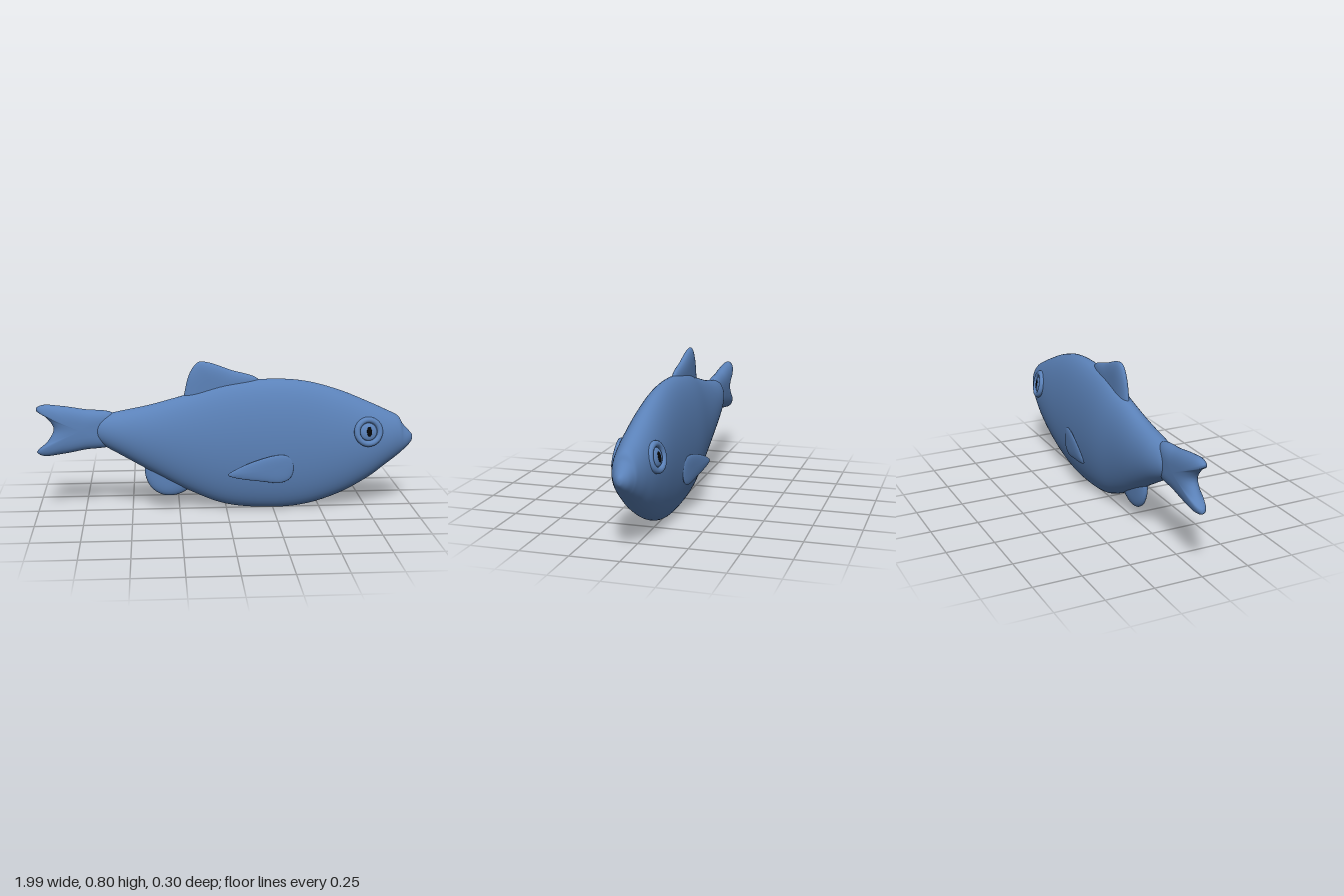
import * as THREE from 'three';
import { mergeVertices } from 'three/addons/utils/BufferGeometryUtils.js';

const blue = new THREE.MeshStandardMaterial({ color: 0x5b82b9 });
blue.name = 'scale blue';
const black = new THREE.MeshStandardMaterial({ color: 0x050505 });
black.name = 'pupil black';

// Skin a list of closed rings (each a list of [x, y, z]) with smooth normals
function loft(rings) {
  const n = rings[0].length, index = [];
  for (let i = 0; i < rings.length - 1; i++) {
    for (let j = 0; j < n; j++) {
      const k = (j + 1) % n, a = i * n, c = a + n;
      index.push(a + j, c + j, a + k, a + k, c + j, c + k);
    }
  }
  const geometry = new THREE.BufferGeometry();
  geometry.setAttribute('position', new THREE.Float32BufferAttribute(rings.flat(2), 3));
  geometry.setIndex(index);
  const merged = mergeVertices(geometry, 1e-5);
  merged.computeVertexNormals();
  return merged;
}

function mesh(name, geometry, material, parent) {
  const m = new THREE.Mesh(geometry, material);
  m.name = name;
  parent.add(m);
  return m;
}

// Body stations from nose to tail: x, top, bottom, half width
function bodyGeometry() {
  const stations = [
    [0.998, 0.385, 0.375, 0.002], [0.992, 0.4, 0.357, 0.016], [0.97, 0.424, 0.33, 0.037],
    [0.94, 0.458, 0.302, 0.053], [0.915, 0.498, 0.28, 0.065], [0.85, 0.532, 0.23, 0.085],
    [0.75, 0.578, 0.155, 0.101], [0.6, 0.641, 0.074, 0.109], [0.42, 0.692, 0.018, 0.11],
    [0.23, 0.706, 0.004, 0.11], [0, 0.687, 0.027, 0.108], [-0.2, 0.63, 0.107, 0.096],
    [-0.4, 0.576, 0.217, 0.087], [-0.55, 0.546, 0.305, 0.076], [-0.64, 0.526, 0.358, 0.058],
    [-0.685, 0.494, 0.396, 0.035], [-0.7, 0.452, 0.436, 0.004],
  ];
  const heights = new THREE.CatmullRomCurve3(stations.map(s => new THREE.Vector3(s[0], s[1], s[2])), false, 'catmullrom');
  const widths = new THREE.CatmullRomCurve3(stations.map(s => new THREE.Vector3(s[0], s[3], 0)), false, 'catmullrom');
  const rings = [], steps = 96, sides = 56;
  for (let i = 0; i <= steps; i++) {
    const h = heights.getPoint(i / steps), w = Math.max(widths.getPoint(i / steps).y, 0.001);
    const ring = [];
    for (let j = 0; j < sides; j++) {
      const a = j / sides * Math.PI * 2;
      ring.push([h.x, (h.y + h.z) / 2 + Math.cos(a) * (h.y - h.z) / 2, Math.sin(a) * w]);
    }
    rings.push(ring);
  }
  const centre = ring => ring.map(() => [ring[0][0], (ring[0][1] + ring[sides / 2][1]) / 2, 0]);
  return loft([centre(rings[0]), ...rings, centre(rings[steps])]);
}

// Pillow-shaped fin: outline shrinks towards its centre as the surface swells;
// midZ gives the height of the fin's middle surface at each x
function finGeometry(outline, [cx, cy], half, blunt = 0.6, midZ = () => 0) {
  const curve = new THREE.CatmullRomCurve3(outline.map(p => new THREE.Vector3(p[0], p[1], 0)), true);
  const edge = curve.getSpacedPoints(72).slice(0, 72);
  if (THREE.ShapeUtils.area(edge) < 0) edge.reverse();
  const rings = [], steps = 18;
  for (let i = 0; i <= steps; i++) {
    const a = i / steps * Math.PI;
    const r = i % steps === 0 ? 0 : Math.sin(a) ** blunt;
    rings.push(edge.map(p => {
      const x = cx + (p.x - cx) * r;
      return [x, cy + (p.y - cy) * r, midZ(x) + Math.cos(a) * half];
    }));
  }
  return loft(rings);
}

export function createModel() {
  const fish = new THREE.Group();
  fish.name = 'fish';
  mesh('body', bodyGeometry(), blue, fish);

  // Fins on the centre line
  mesh('tailFin', finGeometry([
    [-0.58, 0.525], [-0.75, 0.558], [-0.87, 0.577], [-0.965, 0.582], [-0.997, 0.56], [-0.94, 0.515],
    [-0.905, 0.455], [-0.94, 0.385], [-0.997, 0.33], [-0.965, 0.31], [-0.87, 0.318], [-0.75, 0.34], [-0.58, 0.375],
  ], [-0.77, 0.45], 0.044), blue, fish);
  mesh('dorsalFin', finGeometry([
    [-0.215, 0.57], [-0.213, 0.67], [-0.185, 0.755], [-0.145, 0.8], [-0.095, 0.797],
    [0.02, 0.757], [0.17, 0.702], [0.17, 0.62], [0, 0.56],
  ], [-0.06, 0.67], 0.026), blue, fish);
  mesh('analFin', finGeometry([
    [-0.425, 0.26], [-0.43, 0.19], [-0.4, 0.125], [-0.35, 0.088], [-0.295, 0.079],
    [-0.235, 0.094], [-0.18, 0.14], [-0.22, 0.24], [-0.32, 0.29],
  ], [-0.31, 0.18], 0.026), blue, fish);

  for (const side of [1, -1]) {
    const label = side > 0 ? 'left' : 'right';

    // Side fin, flaring outwards towards its rear tip
    mesh(label + 'SideFin', finGeometry([
      [-0.003, 0.227], [0.03, 0.25], [0.14, 0.294], [0.27, 0.321], [0.325, 0.308], [0.348, 0.255],
      [0.33, 0.192], [0.28, 0.17], [0.18, 0.182], [0.03, 0.211],
    ], [0.23, 0.245], 0.011, 0.7, x => side * (0.147 - 0.125 * x)), blue, fish);

    // Eye: raised rim, domed eyeball and upright pupil
    const eye = new THREE.Group();
    eye.name = label + 'Eye';
    eye.position.set(0.742, 0.434, side * 0.095);
    eye.lookAt(0.742 + 0.17, 0.434 + 0.22, side * 1.095);
    fish.add(eye);
    mesh('eyeRim', new THREE.TorusGeometry(0.063, 0.016, 16, 48), blue, eye);
    mesh('eyeball', new THREE.SphereGeometry(0.046, 32, 20), blue, eye).scale.z = 0.34;
    const pupil = mesh('pupil', new THREE.SphereGeometry(0.026, 24, 16), black, eye);
    pupil.scale.set(0.52, 1, 0.17);
    pupil.position.z = 0.0145;
  }
  return fish;
}
